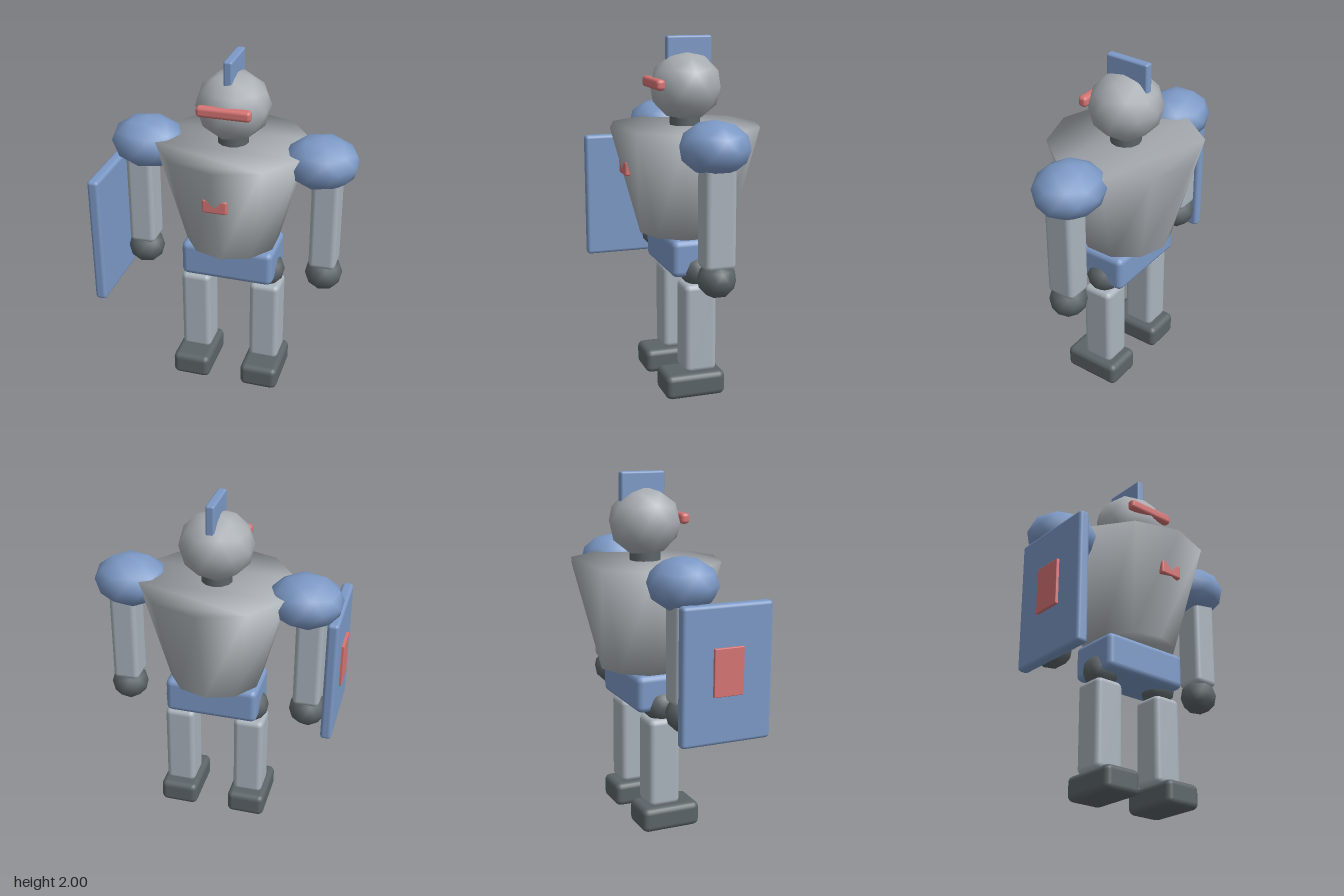
import * as THREE from 'three';
import { RoundedBoxGeometry } from 'three/addons/geometries/RoundedBoxGeometry.js';

const mat = (name, color) => {
  const m = new THREE.MeshStandardMaterial({ color });
  m.name = name;
  return m;
};

// Inverted tapered hull: two rings joined smoothly, capped with crosswise strips
function hullGeometry(sides, r0, y0, r1, y1) {
  const pos = [], idx = [];
  for (const [r, y] of [[r0, y0], [r1, y1]]) {
    for (let i = 0; i < sides; i++) {
      const a = (i / sides) * Math.PI * 2;
      pos.push(r * Math.sin(a), y, r * Math.cos(a));
    }
  }
  for (let i = 0; i < sides; i++) {
    const j = (i + 1) % sides;
    idx.push(i, j, sides + j, i, sides + j, sides + i);
  }
  for (let i = 0; i < sides / 2; i++) {
    const a = i, b = i + 1, c = sides - i - 1, d = (sides - i) % sides;
    if (b !== c) idx.push(sides + a, sides + b, sides + c, a, c, b);
    if (a !== d) idx.push(sides + a, sides + c, sides + d, a, d, c);
  }
  const g = new THREE.BufferGeometry();
  g.setAttribute('position', new THREE.Float32BufferAttribute(pos, 3));
  g.setIndex(idx);
  g.computeVertexNormals();
  return g;
}

export function createModel() {
  const model = new THREE.Group();
  model.name = 'robotKnight';

  const plate = mat('plateGrey', 0xa9aeb3);
  const steel = mat('limbSteel', 0xaab3bc);
  const blue = mat('armourBlue', 0x7c99c6);
  const red = mat('accentRed', 0xd67474);
  const dark = mat('jointGrey', 0x5c6468);

  const add = (name, geometry, material, x, y, z, parent = model) => {
    const m = new THREE.Mesh(geometry, material);
    m.name = name;
    m.position.set(x, y, z);
    parent.add(m);
    return m;
  };

  // Rounded block given by its extents on each axis
  const block = (name, material, [x0, x1], [y0, y1], [z0, z1], r, parent) =>
    add(name, new RoundedBoxGeometry(x1 - x0, y1 - y0, z1 - z0, 2, r), material,
      (x0 + x1) / 2, (y0 + y1) / 2, (z0 + z1) / 2, parent);

  // Low-poly smooth ball standing on a vertex
  const ball = (name, material, x, y, z, rx, ry, rz, parent) => {
    const g = new THREE.IcosahedronGeometry(1, 1);
    g.rotateZ(-Math.atan(2 / (1 + Math.sqrt(5))));
    g.scale(rx, ry, rz);
    return add(name, g, material, x, y, z, parent);
  };

  // Torso and pelvis
  add('torso', hullGeometry(10, 0.265, 0.905, 0.432, 1.51), plate, 0.003, 0, 0);
  block('chestBadge', red, [-0.067, 0.073], [1.245, 1.325], [0.32, 0.367], 0.012);
  block('pelvis', blue, [-0.265, 0.271], [0.695, 0.905], [-0.155, 0.155], 0.035);

  // Head
  add('neck', new THREE.CylinderGeometry(0.087, 0.087, 0.14, 12), dark, 0.003, 1.52, 0);
  ball('head', plate, 0.003, 1.722, -0.003, 0.207, 0.194, 0.203);
  block('visor', red, [-0.147, 0.153], [1.715, 1.775], [0.155, 0.208], 0.02);
  block('crest', blue, [-0.022, 0.027], [1.82, 2.0], [-0.15, 0.11], 0.012);

  // Arms and legs, mirrored
  for (const [side, s] of [['left', 1], ['right', -1]]) {
    const limb = (name) => {
      const g = new THREE.Group();
      g.name = side + name;
      g.position.x = 0.003;
      model.add(g);
      return g;
    };
    const span = (c, h) => [s * c - h, s * c + h];

    const arm = limb('Arm');
    ball('shoulder', blue, s * 0.496, 1.452, 0, 0.209, 0.147, 0.19, arm);
    block('armShaft', steel, span(0.535, 0.077), [0.82, 1.42], [-0.086, 0.086], 0.03, arm);
    ball('hand', dark, s * 0.537, 0.762, 0, 0.107, 0.103, 0.106, arm);

    const leg = limb('Leg');
    ball('hip', dark, s * 0.208, 0.725, 0, 0.1, 0.1, 0.1, leg);
    block('legShaft', steel, span(0.208, 0.088), [0.14, 0.655], [-0.093, 0.093], 0.032, leg);
    block('foot', dark, span(0.209, 0.112), [0, 0.14], [-0.14, 0.207], 0.034, leg);
  }

  // Shield held beside the right arm
  const shield = new THREE.Group();
  shield.name = 'shield';
  model.add(shield);
  block('shieldPanel', blue, [-0.692, -0.627], [0.62, 1.37], [-0.09, 0.432], 0.02, shield);
  block('shieldBadge', red, [-0.708, -0.68], [0.885, 1.145], [0.085, 0.257], 0.004, shield);

  return model;
}
